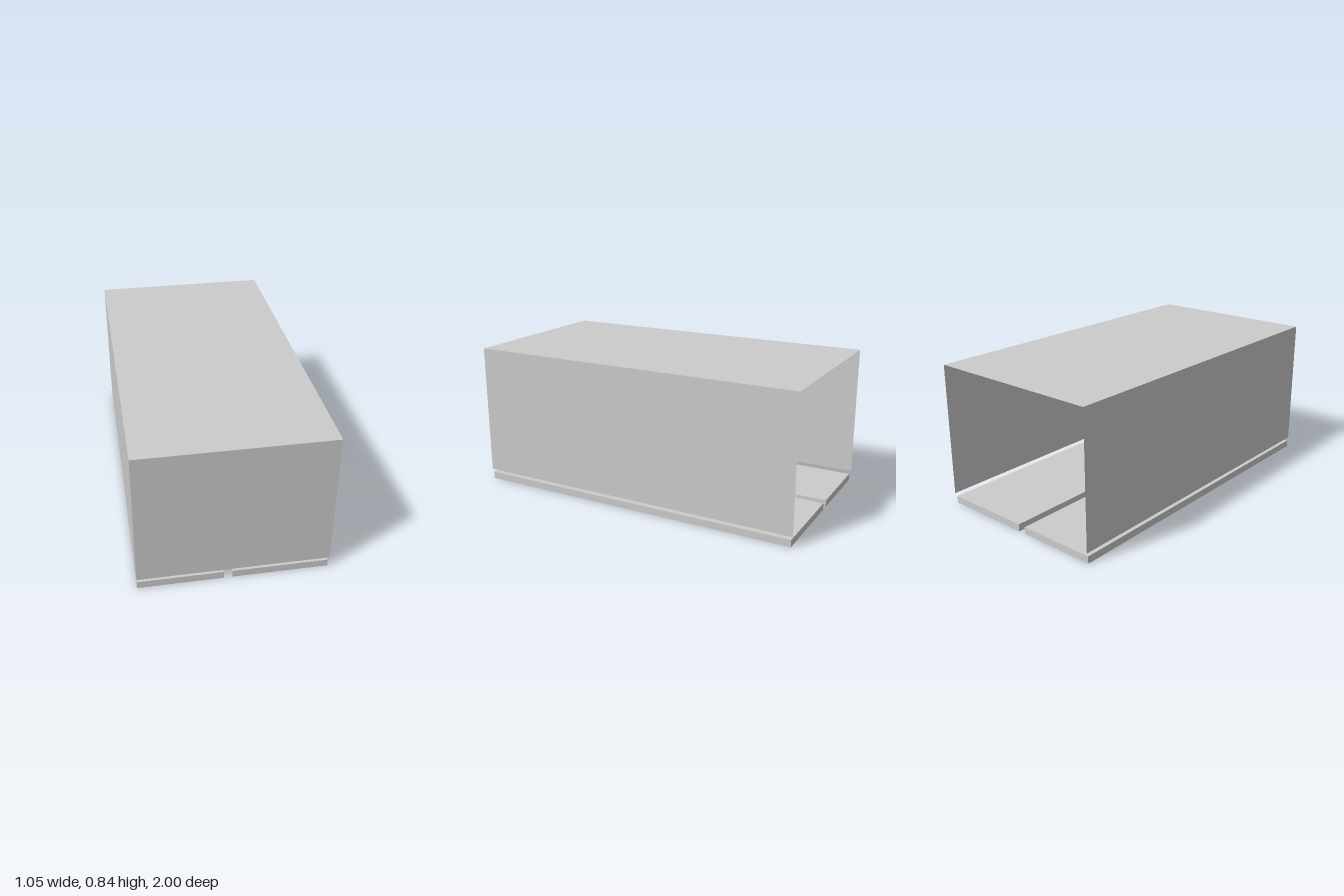
import * as THREE from 'three';

const material = new THREE.MeshStandardMaterial({ color: 0xcccccc, side: THREE.DoubleSide });

function add(parent, name, geometry, x = 0, y = 0, z = 0) {
  const mesh = new THREE.Mesh(geometry, material);
  mesh.name = name;
  mesh.position.set(x, y, z);
  parent.add(mesh);
  return mesh;
}

function rectangle(PathType, x0, x1, z0, z1) {
  // drawn in the shape plane with y = -z, so a -90 degree turn lays it flat
  const path = new PathType();
  path.moveTo(x0, -z1).lineTo(x1, -z1).lineTo(x1, -z0).lineTo(x0, -z0).closePath();
  return path;
}

// Thin walls standing on the sides of a rectangle
function addWalls(parent, x0, x1, y0, y1, z0, z1, sides) {
  const xm = (x0 + x1) / 2, ym = (y0 + y1) / 2, zm = (z0 + z1) / 2;
  const walls = {
    front: [x1 - x0, 0, xm, z1],
    back: [x1 - x0, Math.PI, xm, z0],
    left: [z1 - z0, Math.PI / 2, x1, zm],
    right: [z1 - z0, -Math.PI / 2, x0, zm],
  };
  for (const side of sides) {
    const [width, turn, x, z] = walls[side];
    add(parent, side + 'Wall', new THREE.PlaneGeometry(width, y1 - y0).rotateY(turn), x, ym, z);
  }
}

// Hollow floor board, optionally with a rectangular opening
function board(name, x0, x1, opening) {
  const group = new THREE.Group();
  group.name = name;
  const z0 = -0.99, z1 = 0.995, height = 0.042;
  const shape = rectangle(THREE.Shape, x0, x1, z0, z1);
  if (opening) shape.holes.push(rectangle(THREE.Path, ...opening));
  add(group, 'boardTop', new THREE.ShapeGeometry(shape).rotateX(-Math.PI / 2), 0, height);
  const under = new THREE.ShapeGeometry(shape).rotateX(-Math.PI / 2);
  under.setIndex(Array.from(under.index.array).reverse());
  for (let i = 0; i < under.attributes.normal.count; i++) under.attributes.normal.setXYZ(i, 0, -1, 0);
  add(group, 'boardUnderside', under);
  addWalls(group, x0, x1, 0, height, z0, z1, ['front', 'back', 'left', 'right']);
  return group;
}

export function createModel() {
  const model = new THREE.Group();
  model.name = 'openBox';

  // Cover, open at the back and underneath
  const cover = new THREE.Group();
  cover.name = 'cover';
  addWalls(cover, -0.525, 0.525, 0.063, 0.84, -1, 1, ['front', 'left', 'right']);
  add(cover, 'roof', new THREE.PlaneGeometry(1.05, 2).rotateX(-Math.PI / 2), 0, 0.84);
  model.add(cover);

  // Two floor boards with a gap between them
  model.add(board('leftBoard', -0.01, 0.52));
  model.add(board('rightBoard', -0.524, -0.056, [-0.433, -0.176, 0.008, 0.333]));

  // Short roller lying at the end of the opening
  add(model, 'roller', new THREE.CylinderGeometry(0.047, 0.047, 0.094, 32).rotateX(Math.PI / 2), -0.306, 0.07, 0.328);

  return model;
}
